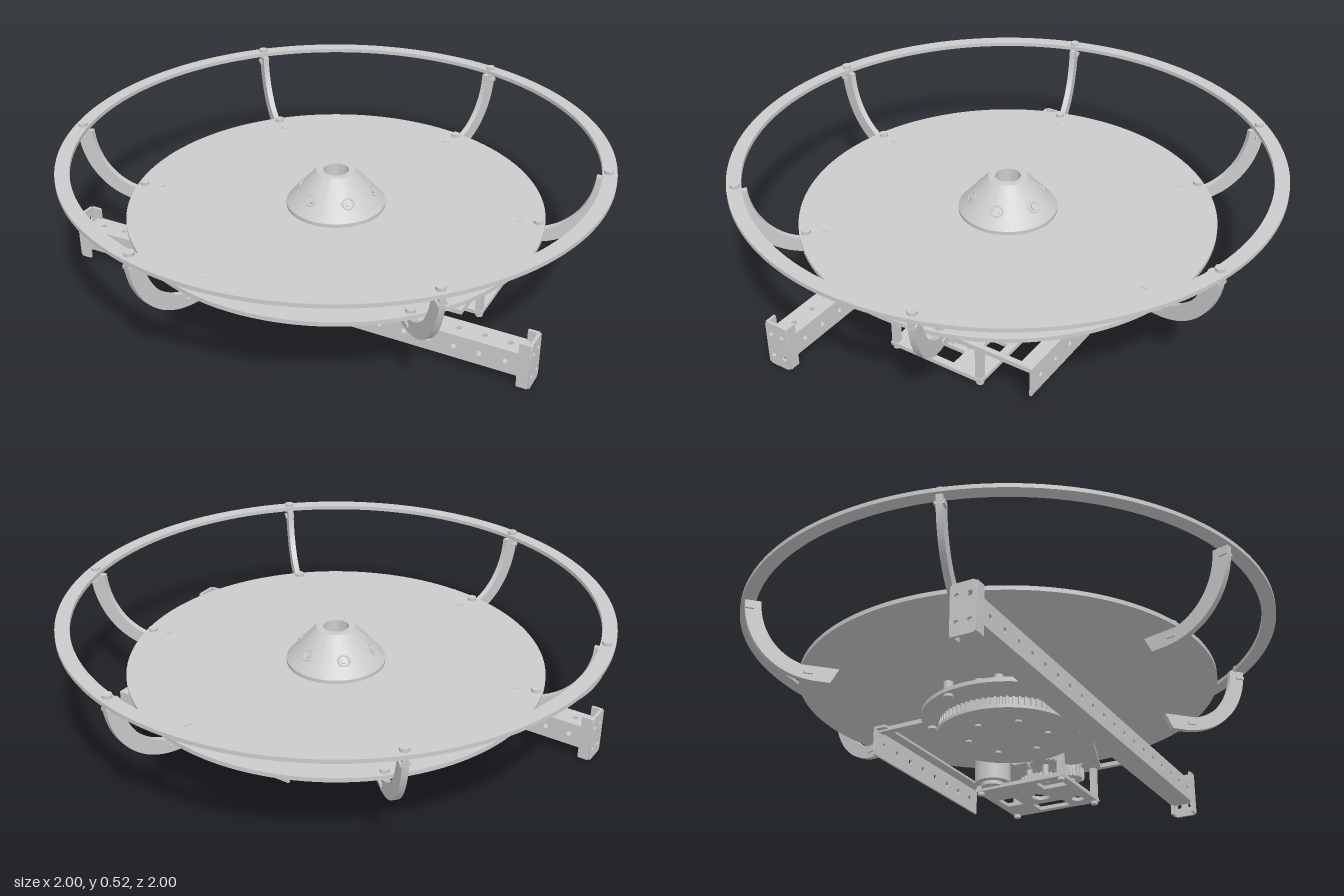
import * as THREE from 'three';
import { toCreasedNormals } from 'three/addons/utils/BufferGeometryUtils.js';

const mat = new THREE.MeshStandardMaterial({ color: 0xcccccc });
const thin = new THREE.MeshStandardMaterial({ color: 0xcccccc, side: THREE.DoubleSide });

function add(parent, name, geo, x = 0, y = 0, z = 0, material = mat) {
  const m = new THREE.Mesh(geo, material);
  m.name = name;
  m.position.set(x, y, z);
  parent.add(m);
  return m;
}
// Box given by its minimum and maximum corners
function block(parent, name, x0, x1, y0, y1, z0, z1) {
  return add(parent, name, new THREE.BoxGeometry(x1 - x0, y1 - y0, z1 - z0), (x0 + x1) / 2, (y0 + y1) / 2, (z0 + z1) / 2);
}
// Upright cylinder from y0 to y1
function rod(parent, name, r, y0, y1, x = 0, z = 0, sides = 24) {
  return add(parent, name, new THREE.CylinderGeometry(r, r, y1 - y0, sides), x, (y0 + y1) / 2, z);
}
function extrude(shape, depth, segs = 12) {
  return toCreasedNormals(new THREE.ExtrudeGeometry(shape, { depth, bevelEnabled: false, curveSegments: segs }), 0.5);
}
// Horizontal plate: the shape's y axis becomes -z
function slab(parent, name, shape, y0, y1, segs) {
  return add(parent, name, extrude(shape, y1 - y0, segs).rotateX(-Math.PI / 2), 0, y0, 0);
}
function circle(r, x = 0, y = 0, path = new THREE.Shape()) {
  path.absarc(x, y, r, 0, Math.PI * 2, false);
  return path;
}
const hole = (r, x, y) => circle(r, x, y, new THREE.Path());
function rect(x0, x1, y0, y1, path = new THREE.Shape()) {
  path.moveTo(x0, y0).lineTo(x1, y0).lineTo(x1, y1).lineTo(x0, y1).closePath();
  return path;
}
function gearShape(r, teeth, depth, bore) {
  const pts = [];
  for (let i = 0; i < teeth; i++) {
    [[0, -depth], [0.3, -depth], [0.4, 0], [0.75, 0], [0.85, -depth]].forEach(([f, d]) => {
      const a = (i + f) / teeth * Math.PI * 2;
      pts.push(new THREE.Vector2((r + d) * Math.cos(a), (r + d) * Math.sin(a)));
    });
  }
  const s = new THREE.Shape(pts);
  s.holes.push(hole(bore, 0, 0));
  return s;
}

function buildDish(root) {
  // Upper hoop and round deck
  const hoop = circle(1);
  hoop.holes.push(hole(0.948, 0, 0));
  slab(root, 'hoop', hoop, 0.495, 0.51, 72);
  rod(root, 'deck', 0.77, 0.268, 0.284, 0, 0, 120);

  // Curved ribs between deck and hoop
  const rib = new THREE.Shape();
  rib.moveTo(0.93, 0.495).lineTo(0.988, 0.495);
  rib.bezierCurveTo(0.985, 0.34, 0.88, 0.215, 0.72, 0.21);
  rib.lineTo(0.665, 0.21).lineTo(0.635, 0.268).lineTo(0.765, 0.268);
  rib.bezierCurveTo(0.85, 0.29, 0.925, 0.37, 0.93, 0.495);
  const ribGeo = extrude(rib, 0.022, 20).translate(0, 0, -0.011);
  for (let i = 0; i < 6; i++) {
    const arm = new THREE.Group();
    arm.name = 'support' + (i + 1);
    arm.rotation.y = (16 + i * 60) * Math.PI / 180;
    add(arm, 'rib', ribGeo);
    for (const [r, top] of [[0.97, 0.51], [0.745, 0.284]]) {
      rod(arm, 'screwHead', 0.017, top, top + 0.012, r, 0, 16);
      rod(arm, 'screwShank', 0.008, top - 0.055, top, r, 0, 10);
      block(arm, 'squareNut', r - 0.016, r + 0.016, top - 0.05, top - 0.038, -0.018, 0.018);
    }
    block(arm, 'ribTab', 0.665, 0.69, 0.28, 0.287, -0.009, 0.009);
    // Screw seat on the slope of the hub
    const seat = add(arm, 'hubScrewSeat', new THREE.TorusGeometry(0.02, 0.004, 6, 24).rotateX(Math.PI / 2), 0.135, 0.35, 0);
    seat.rotation.z = -0.85;
    const screw = add(arm, 'hubScrew', new THREE.CylinderGeometry(0.012, 0.012, 0.012, 6), 0.135, 0.35, 0);
    screw.rotation.z = -0.85;
    // Spacer posts below the deck
    for (const a of [0, Math.PI / 6]) {
      rod(arm, 'spacerPost', 0.018, 0.21, 0.268, 0.155 * Math.cos(a), 0.155 * Math.sin(a), 12);
    }
    root.add(arm);
  }

  // Conical centre hub with a bore
  const profile = [[0, 0.284], [0.183, 0.284], [0.183, 0.298], [0.072, 0.424], [0.047, 0.424], [0.047, 0.35], [0, 0.35]]
    .map(([x, y]) => new THREE.Vector2(x, y));
  add(root, 'hub', toCreasedNormals(new THREE.LatheGeometry(profile, 64), 0.4), 0, 0, 0, thin);
  rod(root, 'hubPin', 0.018, 0.34, 0.39);
}

function buildBeam(root) {
  // Square tube with evenly spaced holes
  const beam = new THREE.Group();
  beam.name = 'crossBeam';
  const wall = rect(-0.88, 0.88, -0.045, 0.045);
  for (let i = -9; i <= 9; i++) wall.holes.push(hole(0.01, i * 0.0913, 0));
  const wallGeo = extrude(wall, 0.008, 6);
  add(beam, 'frontWall', wallGeo, 0, 0.095, 0.377);
  add(beam, 'backWall', wallGeo, 0, 0.095, 0.295);
  add(beam, 'topWall', wallGeo.clone().rotateX(-Math.PI / 2), 0, 0.132, 0.34);
  block(beam, 'bottomWall', -0.88, 0.88, 0.05, 0.058, 0.296, 0.384);

  // End brackets: drilled plate with two side flanges
  const end = new THREE.Shape();
  const [w, h, c] = [0.046, 0.089, 0.016];
  end.moveTo(-w + c, -h).lineTo(w - c, -h).quadraticCurveTo(w, -h, w, -h + c);
  end.lineTo(w, h - c).quadraticCurveTo(w, h, w - c, h).lineTo(-w + c, h).quadraticCurveTo(-w, h, -w, h - c);
  end.lineTo(-w, -h + c).quadraticCurveTo(-w, -h, -w + c, -h);
  for (const y of [-0.045, 0.045]) for (const x of [-0.023, 0.023]) end.holes.push(hole(0.01, x, y));
  const endGeo = extrude(end, 0.01, 8).rotateY(Math.PI / 2);
  for (const s of [-1, 1]) {
    add(beam, 'endPlate', endGeo, s * 0.905 - 0.005, 0.096, 0.341);
    for (const z of [0.299, 0.383]) {
      block(beam, 'endFlange', s * 0.885 - 0.02, s * 0.885 + 0.02, 0.01, 0.182, z - 0.005, z + 0.005);
    }
  }
  root.add(beam);
}

function buildDrive(root) {
  const drive = new THREE.Group();
  drive.name = 'drive';
  // Base plate: round around the bearing, reaching out to the gearbox
  const base = new THREE.Shape();
  base.moveTo(0.63, 0.3).lineTo(0.2, 0.3);
  base.absarc(0, 0, 0.32, 1, Math.PI * 2 - 1, false);
  base.lineTo(0.3, -0.2).lineTo(0.63, -0.09).closePath();
  base.holes.push(rect(0.36, 0.42, 0.02, 0.2, new THREE.Path()), hole(0.045, 0.52, -0.01));
  slab(drive, 'basePlate', base, 0.165, 0.18, 32);

  // Frame bars and rear rail
  block(drive, 'sideBar', 0.61, 0.63, 0.165, 0.182, -0.49, 0.3);
  block(drive, 'frontBar', 0.2, 0.63, 0.165, 0.182, 0.27, 0.3);
  block(drive, 'innerBar', -0.12, -0.09, 0.165, 0.182, -0.49, -0.25);
  block(drive, 'railFlange', -0.14, 0.63, 0.172, 0.182, -0.5, -0.45);
  const rail = rect(-0.14, 0.63, 0.07, 0.18);
  for (let i = 0; i < 8; i++) rail.holes.push(hole(0.01, -0.08 + i * 0.093, 0.125));
  add(drive, 'rearRail', extrude(rail, 0.008, 6), 0, 0, -0.5);

  // Turntable bearing and the main driven wheel
  rod(drive, 'turntable', 0.26, 0.19, 0.212, 0, 0, 64);
  rod(drive, 'bearing', 0.19, 0.14, 0.225, 0, 0, 48);
  slab(drive, 'mainGear', gearShape(0.255, 72, 0.01, 0.04), 0.105, 0.14, 6);
  rod(drive, 'gearCover', 0.262, 0.093, 0.105, 0, 0, 64);
  for (let i = 0; i < 6; i++) {
    const a = i * Math.PI / 3 + 0.3;
    rod(drive, 'coverScrew', 0.012, 0.086, 0.094, 0.15 * Math.cos(a), 0.15 * Math.sin(a), 10);
    rod(drive, 'plateScrew', 0.018, 0.155, 0.215, 0.295 * Math.cos(a), 0.295 * Math.sin(a), 10);
  }

  // Gearbox cage: lower plate with openings on corner posts
  const lower = rect(0.29, 0.625, -0.08, 0.3);
  lower.holes.push(rect(0.42, 0.5, 0.2, 0.27, new THREE.Path()), rect(0.53, 0.6, 0.04, 0.17, new THREE.Path()),
    rect(0.32, 0.39, -0.05, 0.05, new THREE.Path()), hole(0.035, 0.46, 0.1), hole(0.025, 0.55, -0.02));
  slab(drive, 'lowerPlate', lower, 0.025, 0.04, 16);
  for (const x of [0.305, 0.61]) for (const z of [-0.285, 0.065]) {
    block(drive, 'cagePost', x - 0.012, x + 0.012, 0.03, 0.17, z - 0.012, z + 0.012);
    rod(drive, 'postScrew', 0.014, 0.013, 0.026, x, z, 10);
  }

  // Motor and gear train
  rod(drive, 'motor', 0.07, 0.05, 0.165, 0.3, -0.23, 32);
  rod(drive, 'motorCap', 0.045, 0.035, 0.05, 0.3, -0.23, 24);
  rod(drive, 'motorShaft', 0.02, 0.16, 0.25, 0.345, -0.2, 16);
  const train = [[0.5, -0.17, 0.09, 30, 0.195, 0.225], [0.5, -0.17, 0.045, 16, 0.225, 0.255],
    [0.46, -0.08, 0.1, 32, 0.065, 0.09], [0.52, 0.01, 0.05, 18, 0.1, 0.14], [0.345, -0.02, 0.07, 24, 0.105, 0.135]];
  for (const [x, z, r, teeth, y0, y1] of train) {
    slab(drive, 'gear', gearShape(r, teeth, 0.01, 0.012), y0, y1, 6).position.set(x, y0, z);
    rod(drive, 'gearShaft', 0.012, 0.03, y1 + 0.012, x, z, 12);
  }
  root.add(drive);
}

export function createModel() {
  const root = new THREE.Group();
  root.name = 'dishOnDriveFrame';
  buildDish(root);
  buildBeam(root);
  buildDrive(root);
  return root;
}
